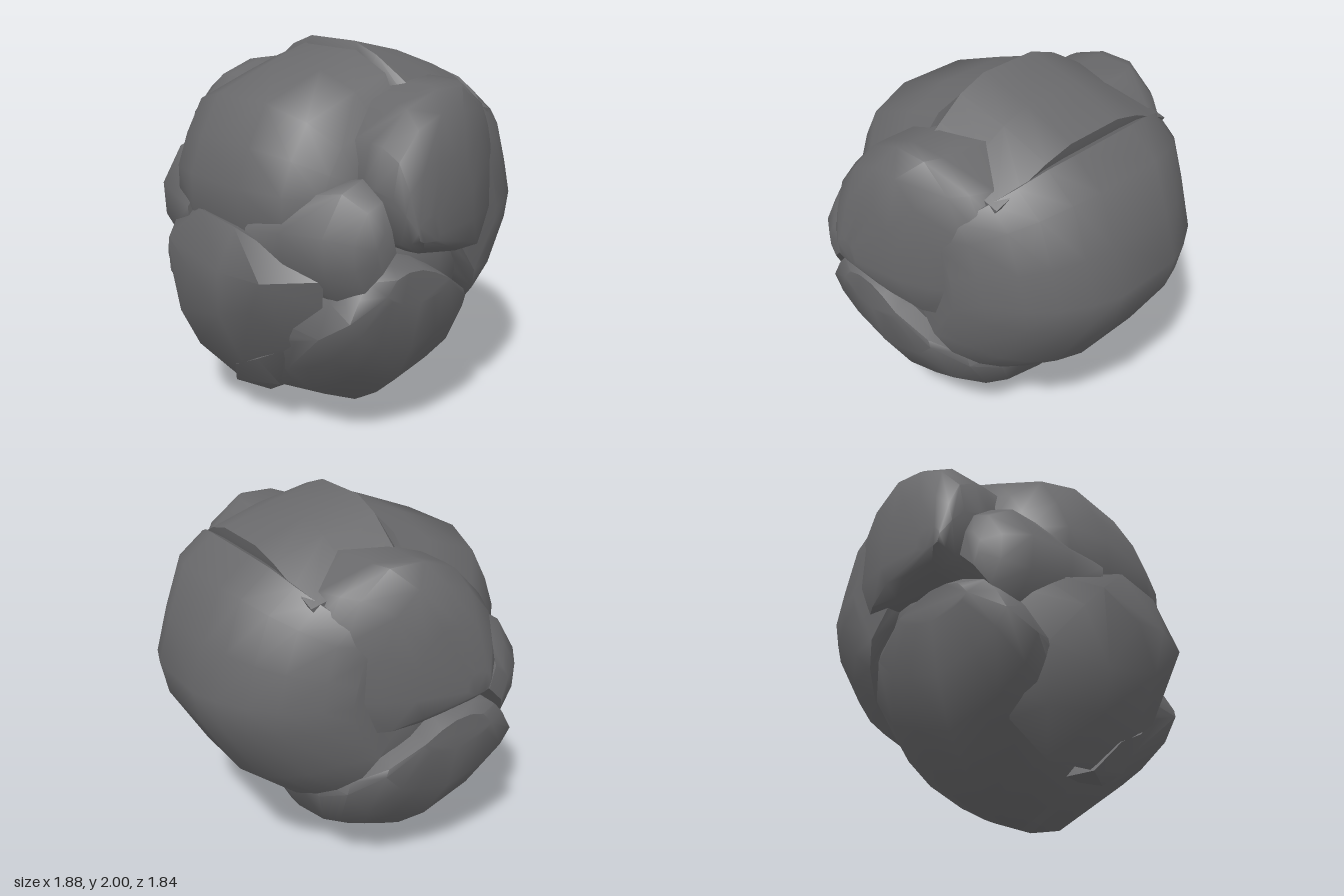
import * as THREE from 'three';
import { ConvexGeometry } from 'three/addons/geometries/ConvexGeometry.js';
import { mergeVertices, toCreasedNormals } from 'three/addons/utils/BufferGeometryUtils.js';

const stone = new THREE.MeshStandardMaterial({ color: 0x69696b });
stone.name = 'grey stone';

// Boulder with softened facets around a set of points
function boulder(name, points) {
  let geo = new ConvexGeometry(points);
  geo.deleteAttribute('normal');
  geo = toCreasedNormals(mergeVertices(geo, 1e-4), 0.85);
  const mesh = new THREE.Mesh(geo, stone);
  mesh.name = name;
  return mesh;
}

// Side profile [z, y] shrunk towards an anchor at stations [x, scaleY, scaleZ, shiftZ]
function sections(profile, [az, ay], stations, sides = [1, -1]) {
  const pts = [];
  for (const side of sides)
    for (const [x, sy, sz = sy, dz = 0] of stations)
      for (const [z, y] of profile)
        pts.push(new THREE.Vector3(side * x, ay + (y - ay) * sy, az + (z - az) * sz + dz));
  return pts;
}

const vectors = (list) => list.map((p) => new THREE.Vector3(...p));

export function createModel() {
  const model = new THREE.Group();
  model.name = 'curledRockBall';

  // Core closing the seams between the boulders
  const core = new THREE.Mesh(new THREE.SphereGeometry(1, 24, 16), stone);
  core.name = 'core';
  core.scale.set(0.76, 0.72, 0.55);
  core.position.set(0, 1, 0);
  model.add(core);

  // Rounded back, hanging over the legs
  model.add(boulder('backShell', sections(
    [[-0.5, 1.72], [-0.58, 1.8], [-0.75, 1.67], [-0.85, 1.4], [-0.92, 1.16], [-0.88, 0.98],
      [-0.68, 0.65], [-0.45, 0.47], [-0.14, 0.8], [0.12, 1.1], [0.1, 1.4]],
    [-0.1, 1.2],
    [[0.2, 1], [0.35, 0.96, 0.94], [0.5, 0.87, 0.84], [0.62, 0.77, 0.71], [0.74, 0.62, 0.5],
      [0.8, 0.45, 0.33]])));

  // Sloping plate on top, falling away to the shoulders
  model.add(boulder('topPlate', sections(
    [[0.05, 2], [-0.25, 1.93], [-0.53, 1.83], [-0.47, 1.71], [0, 1.5], [0.1, 1.92]],
    [-0.2, 1.3],
    [[0.17, 1], [0.33, 0.92, 0.98], [0.48, 0.79, 0.92], [0.62, 0.66, 0.88]])));

  // Forehead and upper face
  model.add(boulder('head', sections(
    [[0.07, 1.96], [0.3, 1.88], [0.64, 1.75], [0.75, 1.55], [0.82, 1.36], [0.82, 1.18],
      [0.7, 0.9], [0.1, 1.0], [0, 1.6]],
    [0.2, 1.3],
    [[0.2, 1], [0.44, 0.86, 0.88], [0.57, 0.6, 0.65], [0.65, 0.36, 0.42]])));

  // Both legs tucked underneath as one mass
  model.add(boulder('tuckedLegs', sections(
    [[0.15, 0], [-0.08, 0.09], [-0.24, 0.18], [-0.37, 0.42], [-0.35, 0.52], [-0.1, 0.85],
      [0.12, 1.05], [0.35, 1.1], [0.55, 0.98], [0.62, 0.8], [0.7, 0.55], [0.62, 0.35], [0.45, 0.16]],
    [0.22, 0.97],
    [[0.04, 1], [0.3, 0.93, 0.99], [0.47, 0.82, 0.99], [0.65, 0.66, 0.94, 0.03],
      [0.79, 0.42, 0.74, 0.05], [0.85, 0.16, 0.4, 0.03]])));

  for (const side of [1, -1]) {
    const prefix = side > 0 ? 'left' : 'right';

    // Broad shoulder, widest at its lower front and blending into the back
    model.add(boulder(prefix + 'Shoulder', sections(
      [[0.45, 1.4], [0.4, 1.6], [0.22, 1.76], [0, 1.83], [-0.22, 1.83], [-0.4, 1.7], [-0.5, 1.5],
        [-0.52, 1.2], [-0.42, 1.0], [-0.18, 1.0], [0.2, 1.05], [0.37, 1.13]],
      [0.32, 1.18],
      [[0.3, 1], [0.56, 1, 1.03], [0.67, 1, 0.96], [0.74, 0.98, 0.86], [0.84, 0.84, 0.68],
        [0.9, 0.52, 0.48], [0.94, 0.15, 0.15]], [side])));

    // Forearm wedged between face and shoulder
    model.add(boulder(prefix + 'Forearm', sections(
      [[0.7, 1.2], [0.58, 1.39], [0.45, 1.44], [0.36, 1.1], [0.6, 0.86], [0.69, 1.02]],
      [0.5, 1.12],
      [[0.25, 0.7, 1, 0.12], [0.45, 0.85, 1, 0.07], [0.68, 1], [0.8, 0.72, 0.7, -0.03],
        [0.86, 0.35, 0.35, -0.05]], [side])));
  }

  // Large fist covering the lower face
  model.add(boulder('frontFist', vectors([
    [-0.7, 0.95, 0.58], [-0.69, 0.84, 0.57], [-0.62, 1.08, 0.62], [-0.45, 0.88, 0.83],
    [-0.35, 1, 0.88], [-0.1, 1.2, 0.84], [0.2, 1.18, 0.85], [0.15, 0.95, 0.92], [-0.1, 0.9, 0.92],
    [0.42, 0.95, 0.87], [0.64, 0.97, 0.66], [0.61, 0.83, 0.64], [0.42, 0.58, 0.68], [0.1, 0.42, 0.76],
    [-0.1, 0.2, 0.62], [-0.35, 0.2, 0.53], [-0.5, 0.4, 0.64], [-0.3, 0.6, 0.86], [0.1, 0.7, 0.89],
    [-0.25, 0.4, 0.78], [-0.57, 0.68, 0.7], [-0.62, 0.5, 0.5], [-0.55, 0.36, 0.46],
    [0.3, 0.76, 0.84], [-0.1, 0.5, 0.2], [0, 1, 0.2]])));

  // Smaller fist beneath it
  model.add(boulder('lowerFist', vectors([
    [-0.12, 0.19, 0.64], [0.08, 0.18, 0.56], [0.22, 0.27, 0.6], [0.35, 0.53, 0.66],
    [0, 0.35, 0.73], [0.2, 0.45, 0.73], [-0.1, 0.2, 0.4], [0.2, 0.25, 0.4], [0, 0.5, 0.2]])));

  return model;
}
